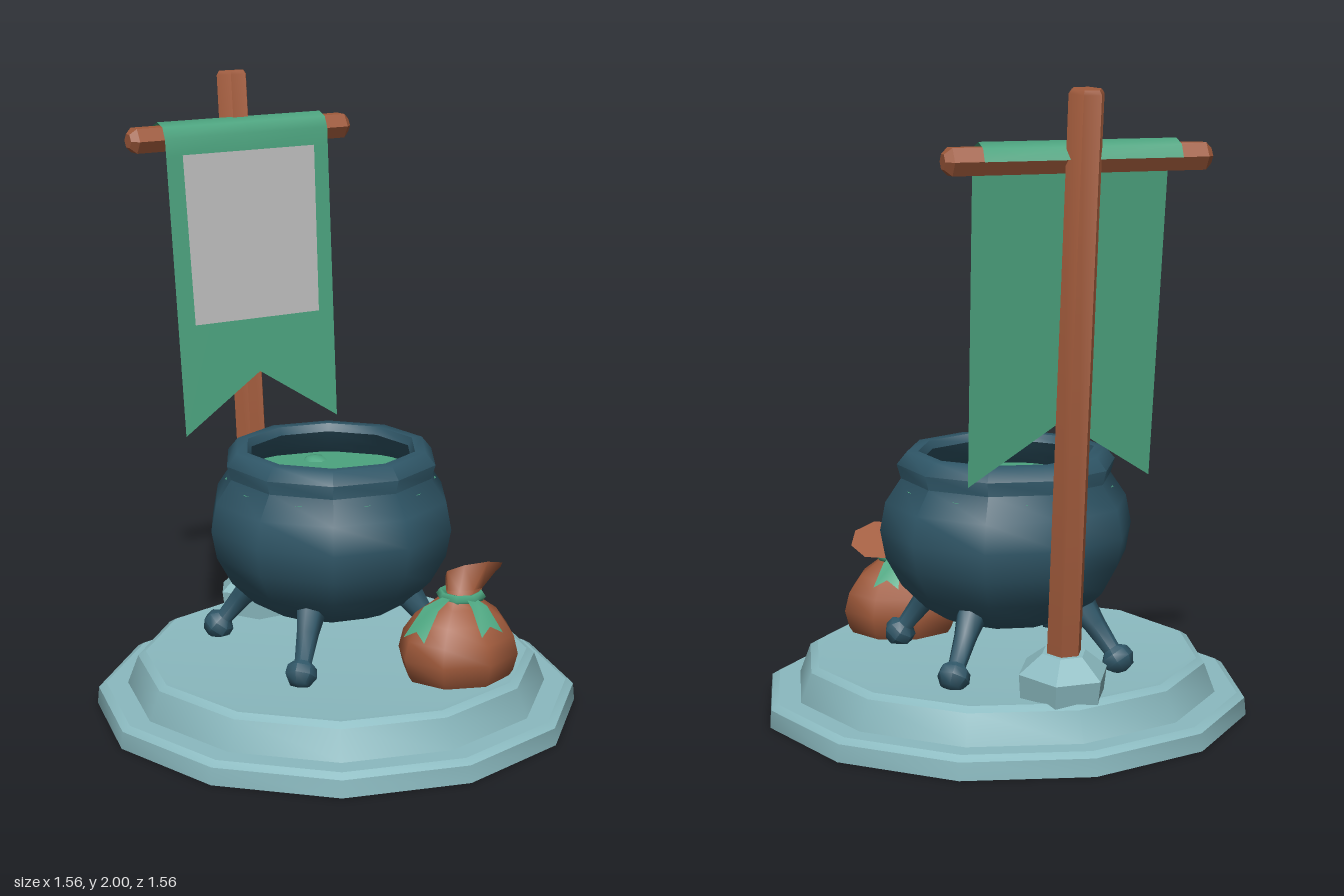
import * as THREE from 'three';
import { toCreasedNormals } from 'three/addons/utils/BufferGeometryUtils.js';

const paint = (name, color) => {
  const m = new THREE.MeshStandardMaterial({ color, side: THREE.DoubleSide });
  m.name = name;
  return m;
};

export function createModel() {
  const stone = paint('stone', 0x8bbac0);
  const iron = paint('iron', 0x2f5667);
  const brown = paint('brown', 0xa05a3b);
  const green = paint('green', 0x4ca47f);
  const grey = paint('grey', 0xbdbdbd);
  const model = new THREE.Group();

  const add = (name, geometry, material, parent = model) => {
    const mesh = new THREE.Mesh(geometry, material);
    mesh.name = name;
    parent.add(mesh);
    return mesh;
  };
  const group = (name, x, y, z, parent = model) => {
    const g = new THREE.Group();
    g.name = name;
    g.position.set(x, y, z);
    parent.add(g);
    return g;
  };
  // Turned part from [radius, y] points, listed bottom to top
  const lathe = (points, sides, crease) => toCreasedNormals(
    new THREE.LatheGeometry(points.map(([r, y]) => new THREE.Vector2(r, y)), sides), crease);

  // Cloth strip from rows of [y, z, halfWidth]; notch moves the middle of the last row
  const strip = (rows, notch) => {
    const g = new THREE.PlaneGeometry(2, 1, 2, rows.length - 1);
    const p = g.attributes.position;
    rows.forEach(([y, z, w], i) => {
      for (let j = 0; j < 3; j++) p.setXYZ(i * 3 + j, (j - 1) * w, y, z);
    });
    if (notch) p.setXYZ(p.count - 2, 0, notch[0], notch[1]);
    g.computeVertexNormals();
    return g;
  };

  // Stepped base, open underneath
  add('base', lathe([[0.78, 0], [0.775, 0.055], [0.75, 0.07], [0.68, 0.07],
    [0.645, 0.163], [0.62, 0.178], [0.59, 0.175], [0, 0.175]], 12, 0.55), stone);

  // Cauldron
  const cauldron = group('cauldron', 0.017, 0, -0.065);
  const pot = add('pot', lathe([[0, 0.315], [0.19, 0.315], [0.26, 0.345], [0.335, 0.42], [0.385, 0.51],
    [0.402, 0.6], [0.385, 0.69], [0.335, 0.765], [0.348, 0.81], [0.315, 0.85], [0.28, 0.85],
    [0.267, 0.825], [0.3, 0.775], [0.34, 0.73]], 10, 0.95), iron, cauldron);
  pot.rotation.y = 0.11;
  const brew = add('brew', new THREE.CircleGeometry(0.34, 10).rotateX(-Math.PI / 2), green, cauldron);
  brew.position.y = 0.74;
  brew.rotation.y = 0.11;
  for (const [x, z, r] of [[-0.075, -0.19, 0.057], [0.09, -0.285, 0.04], [-0.115, -0.035, 0.034], [0.135, -0.015, 0.064]]) {
    const bubble = add('bubble', lathe([[r, 0], [r * 0.7, r * 0.25], [0, r * 0.35]], 7, 1), green, cauldron);
    bubble.position.set(x - 0.017, 0.74, z + 0.065);
  }

  // Splayed legs with knobbed feet
  for (const sx of [-1, 1]) for (const sz of [-1, 1]) {
    const top = new THREE.Vector3(sx * 0.15, 0.43, sz * 0.15);
    const foot = new THREE.Vector3(sx * 0.28, 0.195, sz * 0.28);
    const length = top.distanceTo(foot);
    const leg = add('leg', lathe([[0, -0.025], [0.033, -0.018], [0.052, 0.012], [0.048, 0.04],
      [0.028, 0.058], [0.036, 0.15], [0.06, length]], 7, 0.95), iron, cauldron);
    leg.position.copy(foot);
    leg.quaternion.setFromUnitVectors(new THREE.Vector3(0, 1, 0), top.sub(foot).normalize());
  }

  // Leaning pole in its stone footing
  const stand = group('bannerStand', 0, 0.2, -0.508);
  stand.rotation.x = -0.0914;
  const pole = add('pole', lathe([[0.055, 0], [0.055, 1.79], [0.046, 1.803], [0, 1.803]], 6, 0.6), brown, stand);
  pole.rotation.y = Math.PI / 6;
  const footing = add('footing', lathe([[0, -0.035], [0.135, -0.035], [0.143, 0.05], [0.07, 0.11], [0, 0.11]], 6, 0.6), stone, stand);
  footing.rotation.y = Math.PI / 6;

  // Crossbar
  const bar = add('crossbar', lathe([[0, -0.412], [0.025, -0.412], [0.046, -0.39], [0.046, 0.39],
    [0.025, 0.412], [0, 0.412]], 6, 0.6).rotateZ(Math.PI / 2), brown);
  bar.position.set(0, 1.795, -0.616);

  // Banner folded over the crossbar, with a swallowtail end and a pale panel
  const clothZ = y => -0.478 - 0.09 * (y - 0.85);
  add('banner', strip([[1.795, -0.67, 0.305], [1.832, -0.655, 0.305], [1.849, -0.616, 0.305],
    [1.835, -0.58, 0.305], [1.8, clothZ(1.8), 0.305], [1.74, clothZ(1.74), 0.304],
    [0.825, clothZ(0.825), 0.29]], [1.01, clothZ(1.01)]), green);
  add('bannerPanel', strip([[1.745, clothZ(1.745) + 0.006, 0.247],
    [1.19, clothZ(1.19) + 0.006, 0.235]]), grey);

  // Sack with a tied neck
  const sack = group('sack', 0.227, 0, 0.367);
  const body = add('sackBody', lathe([[0, 0.165], [0.165, 0.165], [0.185, 0.195], [0.2, 0.25], [0.185, 0.31],
    [0.145, 0.365], [0.09, 0.405], [0.06, 0.43]], 8, 1), brown, sack);
  body.scale.z = 0.9;

  // Flared mouth: rings slide and tilt toward one side as they rise
  const mouth = new THREE.LatheGeometry([[0.06, 0], [0.062, 0.35], [0.108, 1], [0, 1]]
    .map(([r, y]) => new THREE.Vector2(r, y)), 8);
  const mp = mouth.attributes.position;
  for (let i = 0; i < mp.count; i++) {
    const x = mp.getX(i), t = mp.getY(i), z = mp.getZ(i);
    mp.setXYZ(i, x * (1 - 0.05 * t) + 0.085 * t, 0.42 + 0.072 * t + t * (0.42 * z - 0.1 * x), z * (1 - 0.3 * t) - 0.04 * t);
  }
  add('sackMouth', toCreasedNormals(mouth, 0.95), brown, sack);

  // Ribbon band and its notched tails
  const band = add('ribbonBand', new THREE.TorusGeometry(0.062, 0.018, 5, 8).rotateX(Math.PI / 2), green, sack);
  band.position.set(0.012, 0.43, -0.005);
  for (const [angle, reach, drop] of [[-1.31, 0.21, 0.335], [0.1, 0.165, 0.345], [2.5, 0.165, 0.35]]) {
    const tail = add('ribbonTail', strip([[0.435, 0.06, 0.016], [0.418, reach * 0.62, 0.03],
      [drop, reach, 0.043]], [drop + 0.025, reach - 0.012]), green, sack);
    tail.rotation.y = angle;
  }
  return model;
}
